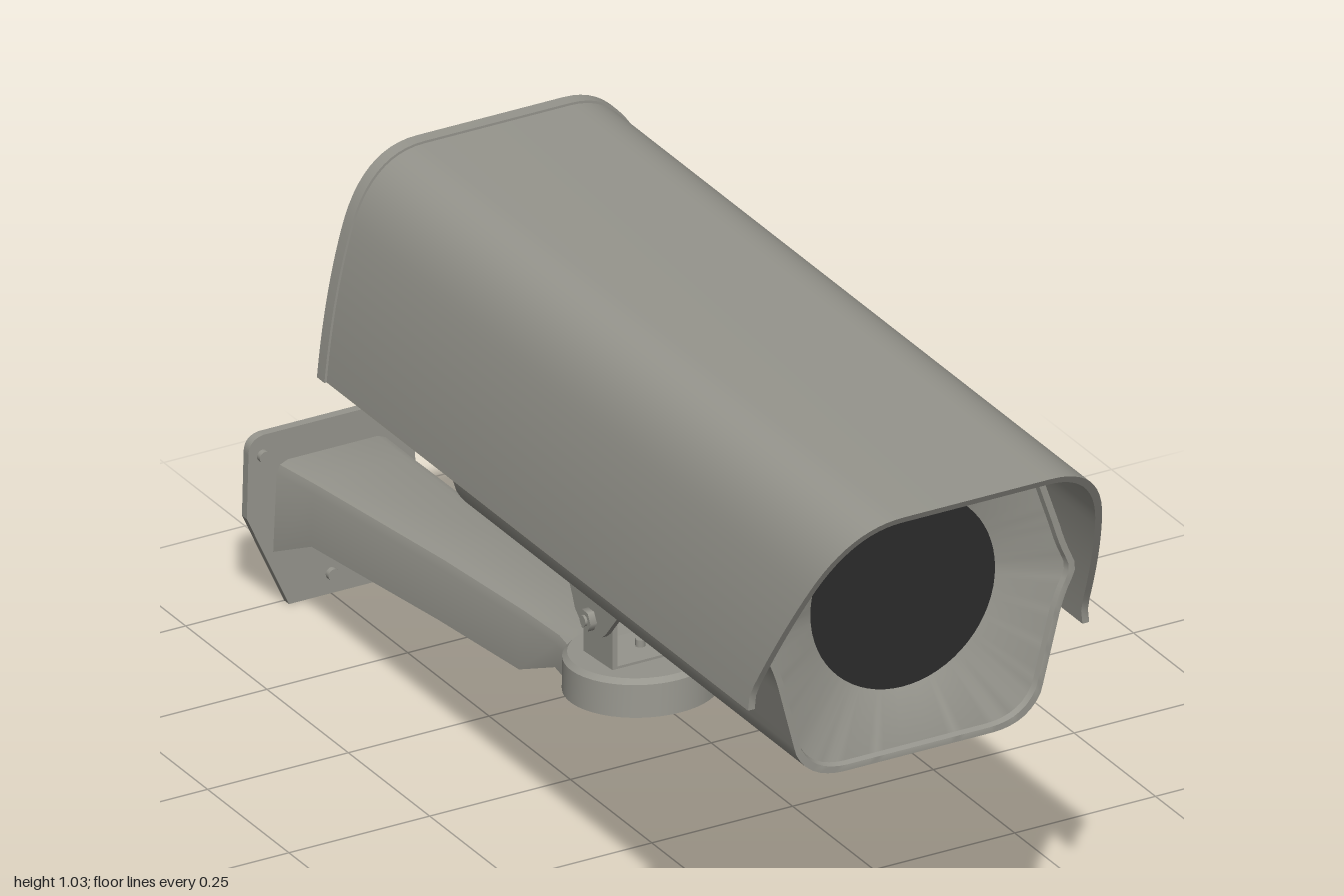
import * as THREE from 'three';
import { toCreasedNormals } from 'three/addons/utils/BufferGeometryUtils.js';

const V = (x, y, z) => new THREE.Vector3(x, y, z);

// Joins closed rings of points; caps: 'none', 'fan' (first ring) or 'strip' (both ends of a thin shell)
function loft(rings, caps = 'none', crease = 0.5) {
  const n = rings[0].length, pos = [];
  const tri = (a, b, c) => pos.push(...a.toArray(), ...b.toArray(), ...c.toArray());
  const quad = (a, b, c, d) => { tri(a, b, c); tri(a, c, d); };
  for (let r = 0; r < rings.length - 1; r++)
    for (let i = 0; i < n; i++) {
      const j = (i + 1) % n;
      quad(rings[r][i], rings[r][j], rings[r + 1][j], rings[r + 1][i]);
    }
  if (caps === 'fan') {
    const first = rings[0], c = V(0, 0, 0);
    first.forEach(p => c.addScaledVector(p, 1 / n));
    for (let i = 0; i < n; i++) tri(c, first[(i + 1) % n], first[i]);
  }
  if (caps === 'strip') {
    const a = rings[0], b = rings[rings.length - 1];
    for (let i = 0; i < n / 2 - 1; i++) {
      quad(a[n - 1 - i], a[n - 2 - i], a[i + 1], a[i]);
      quad(b[i], b[i + 1], b[n - 2 - i], b[n - 1 - i]);
    }
  }
  const g = new THREE.BufferGeometry();
  g.setAttribute('position', new THREE.Float32BufferAttribute(pos, 3));
  return toCreasedNormals(g, crease);
}

// Open arch profile of the sunshield, inset by t, from +x round to -x
function archPoints(t) {
  const half = new THREE.Path();
  half.moveTo(0.303 - t, 0.662);
  half.quadraticCurveTo(0.29 - t, 0.8, 0.26 - t, 0.905);
  half.quadraticCurveTo(0.225 - t, 1.03 - t, 0.13, 1.03 - t);
  const p = half.getPoints(12);
  return [...p, ...p.slice().reverse().map(q => new THREE.Vector2(-q.x, q.y))];
}

// Closed eight-sided rounded outline of the housing
function housingPoints() {
  const s = new THREE.Path();
  s.moveTo(0, 0.515);
  s.lineTo(0.13, 0.515);
  s.quadraticCurveTo(0.195, 0.515, 0.218, 0.565);
  s.lineTo(0.25, 0.69);
  s.quadraticCurveTo(0.26, 0.725, 0.272, 0.745);
  s.quadraticCurveTo(0.284, 0.763, 0.272, 0.785);
  s.quadraticCurveTo(0.26, 0.81, 0.25, 0.845);
  s.lineTo(0.216, 0.945);
  s.quadraticCurveTo(0.195, 1.006, 0.13, 1.006);
  s.lineTo(0, 1.006);
  const p = s.getSpacedPoints(60);
  return [...p, ...p.slice(1, -1).reverse().map(q => new THREE.Vector2(-q.x, q.y))];
}

export function createModel() {
  const root = new THREE.Group();
  const grey = new THREE.MeshStandardMaterial({ color: 0x96958d, side: THREE.DoubleSide });
  grey.name = 'warm grey paint';
  const black = new THREE.MeshStandardMaterial({ color: 0x2b2b2b });
  black.name = 'dark glass';
  const add = (name, geo, x = 0, y = 0, z = 0, mat = grey, parent = root) => {
    const m = new THREE.Mesh(geo, mat);
    m.name = name;
    m.position.set(x, y, z);
    parent.add(m);
    return m;
  };
  const box = (w, h, d) => new THREE.BoxGeometry(w, h, d);
  const cyl = (r1, r2, h, n = 20) => new THREE.CylinderGeometry(r1, r2, h, n);

  // Sunshield with a raked front edge
  const shell = [...archPoints(0), ...archPoints(0.012).reverse()];
  const rake = y => 0.82 + 0.18 * THREE.MathUtils.clamp((y - 0.69) / 0.34, 0, 1);
  add('sunshield', loft([shell.map(p => V(p.x, p.y, -0.48)), shell.map(p => V(p.x, p.y, rake(p.y)))], 'strip'));

  // Rear cap, slightly larger than the sunshield
  const cap = s => archPoints(s);
  add('rearCap', loft([
    cap(0.002).map(p => V(p.x, p.y, -0.505)),
    cap(-0.004).map(p => V(p.x, p.y, -0.498)),
    cap(-0.004).map(p => V(p.x, p.y, -0.475)),
    cap(0.006).map(p => V(p.x, p.y, -0.475)),
  ], 'fan'));

  // Housing: stepped sloping rear underside, front lip and funnel to the window
  const outline = housingPoints(), cy = 0.77, R = 0.163, glassZ = 0.77;
  const section = (z, floor = 0, s = 1) =>
    outline.map(p => V(p.x * s, Math.max(cy + (p.y - cy) * s, floor), z));
  const circle = outline.map(p => {
    const a = Math.atan2(p.y - cy, p.x);
    return V(Math.cos(a) * R, cy + Math.sin(a) * R, glassZ);
  });
  add('housing', loft([
    section(-0.49, 0.648), section(-0.245, 0.6), section(-0.225), section(0.82),
    section(0.82, 0, 0.96), section(0.81, 0, 0.95), circle,
  ], 'fan'));
  add('window', new THREE.CircleGeometry(R + 0.001, 64), 0, cy, glassZ + 0.001, black);
  add('rearFlange', box(0.3, 0.01, 0.02), 0, 0.512, -0.218);

  // Cable glands on the sloping underside
  for (const s of [-1, 1]) {
    const g = new THREE.Group();
    g.name = 'cableGland';
    g.position.set(s * 0.115, 0.605, -0.305);
    g.rotation.x = 0.19;
    root.add(g);
    add('glandCollar', cyl(0.05, 0.05, 0.016), 0, -0.012, 0, grey, g);
    add('glandNut', cyl(0.042, 0.042, 0.025, 6), 0, -0.032, 0, grey, g);
    add('glandCap', toCreasedNormals(new THREE.LatheGeometry([
      [0.018, -0.06], [0.018, -0.11], [0.032, -0.106], [0.041, -0.085], [0.043, -0.045], [0, -0.045],
    ].map(p => new THREE.Vector2(...p)), 24), 0.6), 0, 0, 0, grey, g);
  }

  // Tilt joint: upper ears, lower ears and pivot bolts
  const ear = new THREE.Shape();
  ear.moveTo(0.13, 0.52);
  ear.lineTo(0.12, 0.475);
  ear.quadraticCurveTo(0.08, 0.465, 0.06, 0.445);
  ear.lineTo(0.01, 0.385);
  ear.quadraticCurveTo(-0.035, 0.34, -0.085, 0.39);
  ear.quadraticCurveTo(-0.11, 0.46, -0.18, 0.5);
  ear.lineTo(-0.18, 0.52);
  const low = new THREE.Shape();
  low.moveTo(0.01, 0.315);
  low.lineTo(0.01, 0.41);
  low.absarc(-0.035, 0.405, 0.045, 0, Math.PI, false);
  low.lineTo(-0.08, 0.315);
  const plate = (shape, t) =>
    new THREE.ExtrudeGeometry(shape, { depth: t, bevelEnabled: false, curveSegments: 8 })
      .translate(0, 0, -t / 2).rotateY(-Math.PI / 2);
  for (const s of [-1, 1]) {
    add('upperEar', plate(ear, 0.009), s * 0.083, 0, 0);
    add('lowerEar', plate(low, 0.009), s * 0.071, 0, 0);
    const bolt = cyl(0.009, 0.009, 0.05, 12).rotateZ(Math.PI / 2);
    add('pivotBolt', bolt, s * 0.078, 0.393, -0.035);
    add('pivotNut', cyl(0.018, 0.018, 0.012, 6).rotateZ(Math.PI / 2), s * 0.093, 0.393, -0.035);
  }
  add('upperBasePlate', box(0.175, 0.008, 0.31), 0, 0.512, -0.025);
  add('lowerBasePlate', box(0.15, 0.008, 0.09), 0, 0.321, -0.035);
  add('mountScrew', cyl(0.015, 0.015, 0.02), 0, 0.5, -0.035);
  add('panScrew', cyl(0.008, 0.008, 0.02), 0, 0.327, -0.035);

  // Hollow round head of the arm
  const dish = [[0, 0.03], [0.112, 0.03], [0.12, 0.022], [0.122, -0.032], [0.108, -0.032], [0.106, 0.012], [0, 0.012]];
  const head = add('armHead', toCreasedNormals(new THREE.LatheGeometry(
    dish.map(p => new THREE.Vector2(...p)), 48), 0.6), 0, 0.288, -0.035);
  head.rotation.x = -0.06;

  // Arm: channel open below; z, top, bottom, half width above and below
  const stations = [
    [-0.12, 0.309, 0.252, 0.082, 0.085], [-0.17, 0.306, 0.247, 0.072, 0.074],
    [-0.28, 0.299, 0.195, 0.07, 0.074], [-0.52, 0.283, 0.178, 0.074, 0.08],
    [-0.88, 0.26, 0.15, 0.093, 0.096], [-0.98, 0.253, 0.1, 0.1, 0.106],
  ];
  const channel = ([z, t, b, w, v]) => {
    const k = 0.012;
    const outer = [[v, b], [w, t - 0.02], [w - 0.006, t - 0.006], [w - 0.02, t]];
    const inner = [[v - k, b], [w - k, t - 0.024], [w - k - 0.005, t - 0.016], [w - 0.028, t - k]];
    const arch = h => [...h, ...h.slice().reverse().map(([x, y]) => [-x, y])];
    return [...arch(outer), ...arch(inner).reverse()].map(([x, y]) => V(x, y, z));
  };
  add('arm', loft(stations.map(channel), 'strip'));

  // Wall plate: thin front web with a cable hole and a raised rim behind
  const outlineShape = () => {
    const s = new THREE.Shape();
    s.moveTo(-0.075, 0);
    s.lineTo(0.075, 0);
    s.lineTo(0.15, 0.165);
    s.lineTo(0.147, 0.275);
    s.quadraticCurveTo(0.146, 0.3, 0.12, 0.303);
    s.lineTo(-0.12, 0.303);
    s.quadraticCurveTo(-0.146, 0.3, -0.147, 0.275);
    s.lineTo(-0.15, 0.165);
    return s;
  };
  const web = outlineShape();
  web.holes.push(new THREE.Path().absarc(0, 0.09, 0.019, 0, Math.PI * 2, true));
  const rim = outlineShape(), recess = new THREE.Path();
  recess.moveTo(-0.06, 0.06);
  recess.lineTo(-0.092, 0.13);
  recess.lineTo(-0.088, 0.23);
  recess.quadraticCurveTo(-0.086, 0.255, -0.06, 0.255);
  recess.lineTo(0.06, 0.255);
  recess.quadraticCurveTo(0.086, 0.255, 0.088, 0.23);
  recess.lineTo(0.092, 0.13);
  recess.lineTo(0.06, 0.06);
  rim.holes.push(recess);
  const flat = (s, d) => new THREE.ExtrudeGeometry(s, { depth: d, bevelEnabled: false, curveSegments: 16 });
  add('wallPlate', flat(web, 0.006), 0, 0, -0.991);
  add('wallPlateRim', flat(rim, 0.009), 0, 0, -1);
  for (const [x, y] of [[0, 0.035], [-0.122, 0.268], [0.122, 0.268]])
    add('wallScrew', cyl(0.01, 0.01, 0.012, 16).rotateX(Math.PI / 2), x, y, -0.982);

  return root;
}
